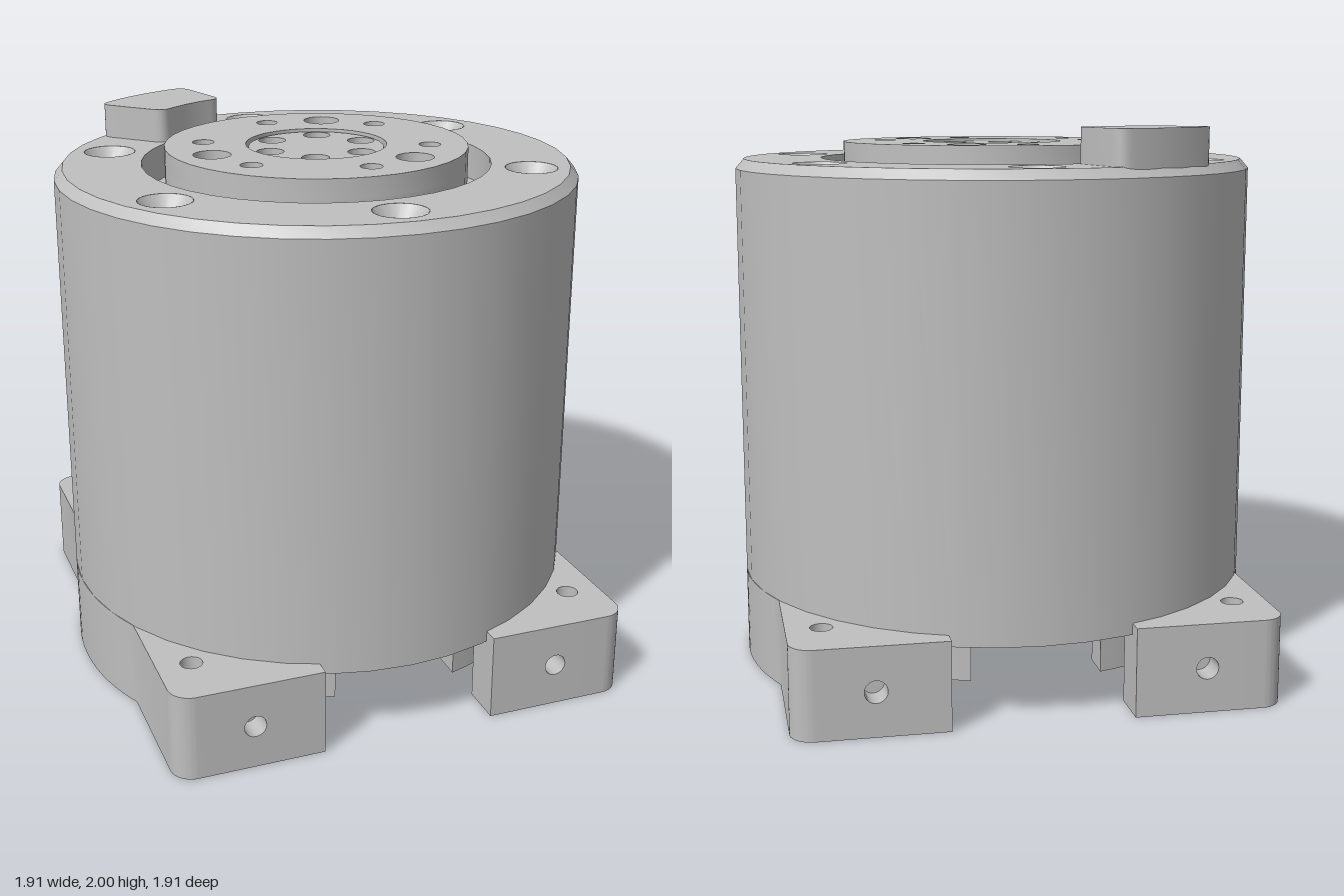
import * as THREE from 'three';
import { toCreasedNormals } from 'three/addons/utils/BufferGeometryUtils.js';

const metal = new THREE.MeshStandardMaterial({ color: 0xbfbfbf, side: THREE.DoubleSide });
metal.name = 'plain grey metal';

const R = 0.955, TOP = 1.875;
const rad = THREE.MathUtils.degToRad;

function add(parent, name, geometry) {
  const mesh = new THREE.Mesh(geometry, metal);
  mesh.name = name;
  parent.add(mesh);
  return mesh;
}

function circle(r, x = 0, z = 0) {
  return new THREE.Shape().absarc(x, -z, r, 0, Math.PI * 2, false);
}

// Horizontal plate between two heights; the outline lies in (x, -z)
function plate(parent, name, shape, holes, y0, y1, segments = 10) {
  shape.holes.push(...holes);
  const g = new THREE.ExtrudeGeometry(shape, { depth: y1 - y0, bevelEnabled: false, curveSegments: segments });
  g.rotateX(-Math.PI / 2);
  g.translate(0, y0, 0);
  return add(parent, name, toCreasedNormals(g, 0.5));
}

function lathe(parent, name, points, segments) {
  const g = new THREE.LatheGeometry(points.map(p => new THREE.Vector2(...p)), segments);
  return add(parent, name, toCreasedNormals(g, 0.5));
}

// Evenly spaced points on a circle, angle measured from +x towards +z
function around(count, radius, startDeg) {
  return Array.from({ length: count }, (_, i) => {
    const a = rad(startDeg) + (i * Math.PI * 2) / count;
    return [radius * Math.cos(a), radius * Math.sin(a)];
  });
}

// One side of the base: curved skirt, two square feet and the stepped inner ring
function baseHalf() {
  const half = new THREE.Group();
  half.name = 'baseHalf';
  const gap = 0.32, w = 0.86, d = 0.955, c = 0.08, inner = 0.86;
  const zin = Math.sqrt(inner * inner - gap * gap);
  const a = Math.acos(w / R), b = Math.acos(gap / inner);

  const s = new THREE.Shape();
  s.moveTo(gap, -zin);
  s.lineTo(gap, -d);
  s.lineTo(0.475, -d).lineTo(0.475, -0.86).lineTo(0.675, -0.86).lineTo(0.675, -d);
  s.lineTo(w - c, -d);
  s.absarc(w - c, -d + c, c, -Math.PI / 2, 0, false);
  s.absarc(0, 0, R, -a, a, false);
  s.lineTo(w, d - c);
  s.absarc(w - c, d - c, c, 0, Math.PI / 2, false);
  s.lineTo(0.675, d).lineTo(0.675, 0.86).lineTo(0.475, 0.86).lineTo(0.475, d);
  s.lineTo(gap, d).lineTo(gap, zin);
  s.absarc(0, 0, inner, b, -b, true);
  plate(half, 'skirtAndFeet', s, [circle(0.04, 0.735, 0.735), circle(0.04, 0.735, -0.735)], 0, 0.32);

  // Drilled block in the outer face of each foot
  for (const z of [0.86, -d]) {
    const f = new THREE.Shape();
    f.moveTo(0.475, 0).lineTo(0.675, 0).lineTo(0.675, 0.32).lineTo(0.475, 0.32).closePath();
    f.holes.push(circle(0.04, 0.575, -0.16));
    const g = new THREE.ExtrudeGeometry(f, { depth: d - 0.86, bevelEnabled: false, curveSegments: 10 });
    g.translate(0, 0, z);
    add(half, 'footSideHole', toCreasedNormals(g, 0.5));
  }

  // Inner ring with screw bosses
  const r0 = 0.73, r1 = 0.845, slot = 0.23;
  const t0 = Math.acos(slot / r0), t1 = Math.acos(slot / r1);
  const ring = new THREE.Shape();
  ring.absarc(0, 0, r1, -t1, t1, false);
  ring.absarc(0, 0, r0, t0, -t0, true);
  const spots = [55, -35].map(deg => [0.785 * Math.cos(rad(deg)), 0.785 * Math.sin(rad(deg))]);
  plate(half, 'innerRing', ring, spots.map(([x, z]) => circle(0.025, x, z)), 0.12, 0.29, 16);
  for (const [x, z] of spots) {
    const k = 0.96;
    plate(half, 'screwBoss', circle(0.085, x * k, z * k), [circle(0.025, x, z)], 0.12, 0.29, 8);
  }
  return half;
}

export function createModel() {
  const model = new THREE.Group();
  model.name = 'actuator';

  // Main housing, closed underneath, with a chamfered top edge
  lathe(model, 'housing', [[0, 0.28], [R, 0.28], [R, 1.84], [0.925, TOP]], 40);

  // Top ring with six countersunk screw holes
  const screws = around(6, 0.785, 90);
  plate(model, 'topRing', circle(0.925), [circle(0.64), ...screws.map(([x, z]) => circle(0.095, x, z))], 1.74, TOP, 20);
  for (const [x, z] of screws) {
    const sink = lathe(model, 'countersink', [[0, 1.76], [0.048, 1.76], [0.048, 1.81], [0.095, TOP]], 16);
    sink.position.set(x, 0, z);
  }
  plate(model, 'grooveFloor', circle(0.66), [circle(0.5)], 1.72, 1.745, 20);

  // Rotating output flange
  const flange = new THREE.Group();
  flange.name = 'outputFlange';
  model.add(flange);
  plate(flange, 'flangeCore', circle(0.555), [], 1.73, 1.86, 20);
  plate(flange, 'flangeFace', circle(0.555), [
    circle(0.258),
    ...around(3, 0.415, -66.8).map(([x, z]) => circle(0.068, x, z)),
    ...around(6, 0.415, -97).map(([x, z]) => circle(0.04, x, z)),
  ], 1.86, 1.935, 20);
  const hubHoles = around(6, 0.19, -9);
  plate(flange, 'hub', circle(0.248), [...hubHoles.map(([x, z]) => circle(0.05, x, z))], 1.86, 1.925, 18);
  for (const [x, z] of hubHoles) {
    plate(flange, 'hubScrew', circle(0.05, x, z), [circle(0.028, x, z)], 1.86, 1.895, 8);
  }

  // Raised stop block on the back of the top ring, with rounded corners
  const polar = (r, deg) => [r * Math.cos(rad(deg)), r * Math.sin(rad(deg))];
  const ri = 0.645, ro = 0.93, a0 = 105.5, a1 = 134;
  const stop = new THREE.Shape();
  stop.moveTo(...polar(ri + 0.05, a0));
  stop.lineTo(...polar(ro - 0.05, a0));
  stop.quadraticCurveTo(...polar(ro, a0), ...polar(ro, a0 + 3));
  stop.absarc(0, 0, ro, rad(a0 + 3), rad(a1 - 3), false);
  stop.quadraticCurveTo(...polar(ro, a1), ...polar(ro - 0.05, a1));
  stop.lineTo(...polar(ri + 0.05, a1));
  stop.quadraticCurveTo(...polar(ri, a1), ...polar(ri, a1 - 4));
  stop.absarc(0, 0, ri, rad(a1 - 4), rad(a0 + 4), true);
  stop.quadraticCurveTo(...polar(ri, a0), ...polar(ri + 0.05, a0));
  plate(model, 'stopBlock', stop, [], TOP - 0.01, 2, 6);

  // Base, repeated on the opposite side
  for (const turn of [0, Math.PI]) {
    const half = baseHalf();
    half.rotation.y = turn;
    model.add(half);
  }
  return model;
}
